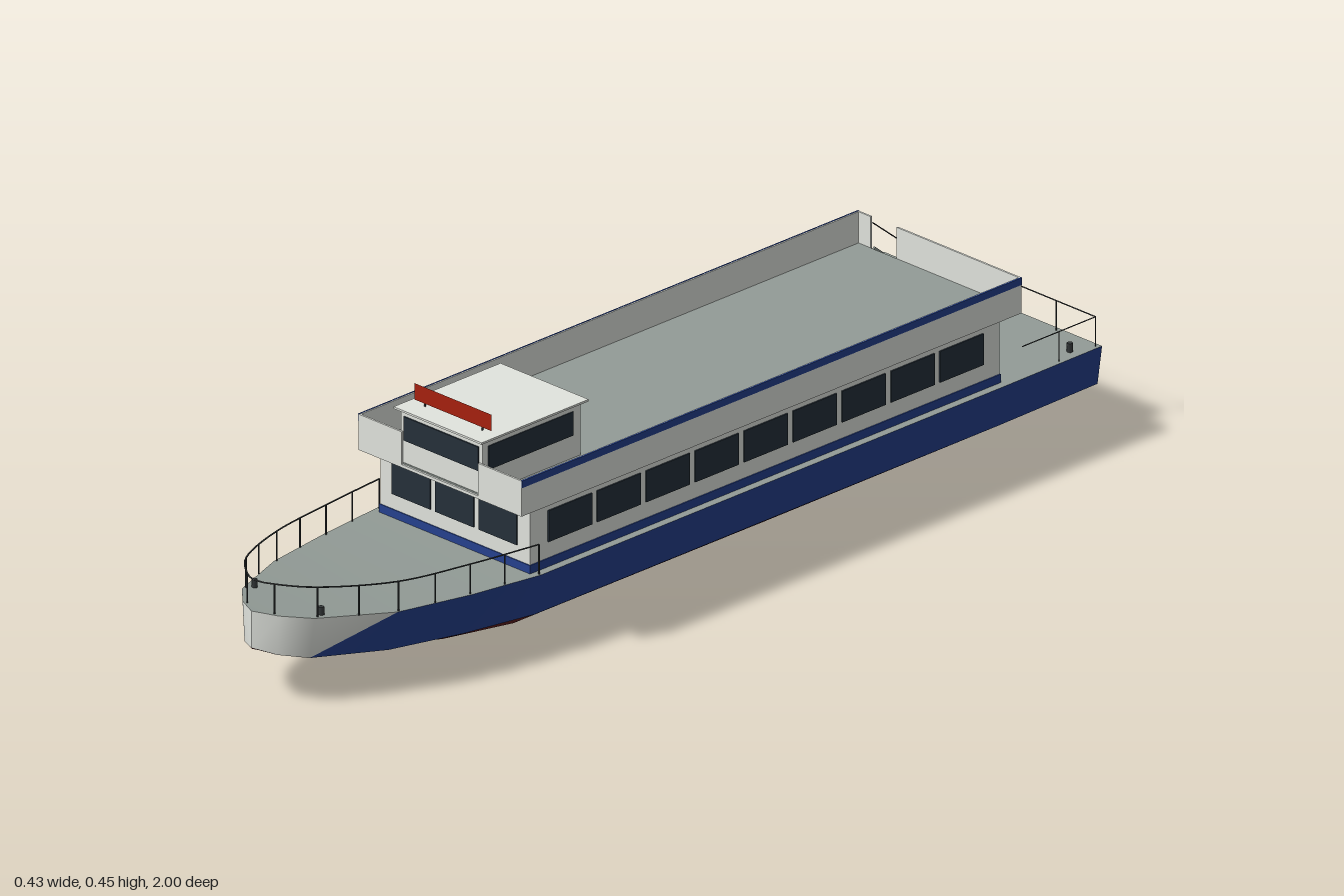
import * as THREE from 'three';

const mat = (name, color, double) => {
  const m = new THREE.MeshStandardMaterial({ color });
  m.name = name;
  if (double) m.side = THREE.DoubleSide;
  return m;
};

export function createModel() {
  const white = mat('white paint', 0xe2e5df);
  const blue = mat('blue paint', 0x25418f);
  const red = mat('hull red', 0x6a2222);
  const grey = mat('deck grey', 0x939c97);
  const glass = mat('dark glass', 0x25303a);
  const dark = mat('dark metal', 0x35393a);
  const signRed = mat('sign red', 0xa8210f, true);

  const model = new THREE.Group();
  model.name = 'passengerBoat';

  const add = (name, geo, material, parent = model) => {
    const m = new THREE.Mesh(geo, material);
    m.name = name;
    parent.add(m);
    return m;
  };
  // box given by its limits on each axis
  const box = (name, material, x0, x1, y0, y1, z0, z1, parent) => {
    const m = add(name, new THREE.BoxGeometry(x1 - x0, y1 - y0, z1 - z0), material, parent);
    m.position.set((x0 + x1) / 2, (y0 + y1) / 2, (z0 + z1) / 2);
    return m;
  };
  const group = (name) => {
    const g = new THREE.Group();
    g.name = name;
    model.add(g);
    return g;
  };
  const V = (x, y, z) => new THREE.Vector3(x, y, z);
  // thin round bar between two points
  const rod = (name, a, b, r, parent) => {
    const d = b.clone().sub(a);
    const m = add(name, new THREE.CylinderGeometry(r, r, d.length(), 6), dark, parent);
    m.position.copy(a).add(b).multiplyScalar(0.5);
    m.quaternion.setFromUnitVectors(V(0, 1, 0), d.normalize());
    return m;
  };

  // hull sections: z, deck x y, knuckle x y, chine x y, keel y
  const S = [
    [-1.0, 0.212, 0.155, 0.2, 0.075, 0.145, 0.073, 0.072],
    [-0.75, 0.214, 0.155, 0.197, 0.07, 0.145, 0.037, 0.023],
    [-0.2, 0.214, 0.155, 0.197, 0.07, 0.145, 0.036, 0.012],
    [0.46, 0.214, 0.155, 0.197, 0.07, 0.142, 0.035, 0.0],
    [0.62, 0.193, 0.159, 0.172, 0.074, 0.12, 0.047, 0.033],
    [0.78, 0.162, 0.165, 0.138, 0.081, 0.085, 0.068, 0.065],
    [0.93, 0.095, 0.178, 0.082, 0.094, 0.045, 0.093, 0.092],
    [0.975, 0.048, 0.182, 0.043, 0.102, 0.022, 0.101, 0.1],
    [1.0, 0.0, 0.185, 0.0, 0.111, 0.0, 0.11, 0.109],
  ];
  const PAINT_BREAK = 5; // the white bow begins on the diagonal after this section
  const row = (k, s) => S.map((p) => (k === 0 ? V(0, p[7], p[0]) : V(s * p[7 - 2 * k], p[8 - 2 * k], p[0])));
  // surface stretched over lengthwise rows; bowAt splits it into two paint groups
  const sheet = (rows, flip, bowAt = Infinity) => {
    const n = S.length, aft = [], bow = [];
    for (let r = 0; r < rows.length - 1; r++) {
      for (let i = 0; i < n - 1; i++) {
        const a = r * n + i, b = a + n;
        const t1 = [a, b, a + 1], t2 = [b, b + 1, a + 1];
        if (flip) { t1.reverse(); t2.reverse(); }
        (i > bowAt ? bow : aft).push(...t1);
        (i >= bowAt ? bow : aft).push(...t2);
      }
    }
    const g = new THREE.BufferGeometry().setFromPoints(rows.flat());
    g.setIndex([...aft, ...bow]);
    g.addGroup(0, aft.length, 0);
    g.addGroup(aft.length, bow.length, 1);
    g.computeVertexNormals();
    return g;
  };
  const hull = group('hull');
  for (const s of [1, -1]) {
    add('hullBottom', sheet([row(0, s), row(1, s), row(2, s)], s < 0), [red, red], hull);
    add('hullSide', sheet([row(2, s), row(3, s)], s < 0, PAINT_BREAK), [blue, white], hull);
  }
  add('mainDeck', sheet([row(3, 1), row(3, -1)], false), [grey, grey], hull);
  const t = S[0];
  const transom = new THREE.Shape([[t[1], t[2]], [-t[1], t[2]], [-t[3], t[4]], [-t[5], t[6]], [0, t[7]], [t[5], t[6]], [t[3], t[4]]]
    .map(([x, y]) => new THREE.Vector2(x, y)));
  const tm = add('transom', new THREE.ShapeGeometry(transom), blue, hull);
  tm.rotation.y = Math.PI;
  tm.position.z = -1;

  // passenger cabin with blue base band
  const cabin = group('cabin');
  box('cabinWalls', white, -0.195, 0.195, 0.15, 0.29, -0.75, 0.47, cabin);
  box('cabinBaseBand', blue, -0.197, 0.197, 0.152, 0.172, -0.752, 0.472, cabin);
  for (const s of [1, -1]) {
    for (let i = 0; i < 9; i++) {
      const z = 0.424 - i * 0.1272;
      box('sideWindow', glass, s * 0.196 - 0.002, s * 0.196 + 0.002, 0.205, 0.268, z - 0.113, z, cabin);
    }
  }
  for (const x of [-0.113, 0, 0.113]) box('frontWindow', glass, x - 0.05, x + 0.05, 0.203, 0.266, 0.469, 0.473, cabin);
  box('rearWindow', glass, 0.07, 0.17, 0.205, 0.266, -0.753, -0.749, cabin);
  box('rearWindow', glass, -0.17, -0.09, 0.205, 0.266, -0.753, -0.749, cabin);
  box('rearDoor', glass, -0.045, 0.02, 0.173, 0.266, -0.754, -0.749, cabin);

  // upper deck with its parapet
  const upper = group('upperDeck');
  box('upperFloorUnderside', white, -0.213, 0.213, 0.288, 0.294, -0.79, 0.51, upper);
  box('upperFloor', grey, -0.209, 0.209, 0.294, 0.297, -0.786, 0.506, upper);
  for (const s of [1, -1]) {
    box('sideParapet', white, s * 0.211 - 0.002, s * 0.211 + 0.002, 0.29, 0.36, -0.79, 0.51, upper);
    box('parapetStripe', blue, s * 0.213 - 0.0015, s * 0.213 + 0.0015, 0.346, 0.3605, -0.79, 0.51, upper);
    const xs = [s * 0.1, s * 0.213].sort((a, b) => a - b);
    box('frontParapet', white, xs[0], xs[1], 0.29, 0.36, 0.506, 0.51, upper);
  }
  box('rearParapet', white, -0.11, 0.213, 0.29, 0.36, -0.79, -0.786, upper);
  box('rearParapet', white, -0.213, -0.178, 0.29, 0.36, -0.79, -0.786, upper);

  // wheelhouse with roof and sign board
  const house = group('wheelhouse');
  box('wheelhouseWalls', white, -0.106, 0.106, 0.295, 0.404, 0.25, 0.505, house);
  box('wheelhouseRoof', white, -0.115, 0.115, 0.404, 0.408, 0.238, 0.516, house);
  box('wheelhouseFrontWindow', glass, -0.097, 0.097, 0.343, 0.391, 0.504, 0.508, house);
  for (const s of [1, -1]) {
    box('wheelhouseSideWindow', glass, s * 0.106 - 0.002, s * 0.106 + 0.002, 0.343, 0.391, 0.27, 0.49, house);
    rod('signPost', V(s * 0.075, 0.406, 0.474), V(s * 0.075, 0.42, 0.474), 0.002, house);
  }
  const sign = add('signBoard', new THREE.PlaneGeometry(0.2, 0.033), signRed, house);
  sign.position.set(0, 0.431, 0.476);

  // bow rail following the deck edge
  const H = 0.06, R = 0.0016;
  const rails = group('railings');
  const edge = S.slice(3).map((p) => V(p[1] * 0.975, p[2] + H, p[0] - (p[0] > 0.9 ? 0.008 : 0)));
  const path = [...edge, ...edge.slice(0, -1).reverse().map((p) => V(-p.x, p.y, p.z))];
  const curve = new THREE.CatmullRomCurve3(path);
  add('bowRail', new THREE.TubeGeometry(curve, 60, R, 6), dark, rails);
  for (let i = 0; i <= 15; i++) {
    const p = curve.getPointAt(i / 15);
    rod('bowRailPost', V(p.x, p.y - H, p.z), p, R, rails);
  }
  // stern rail on three sides
  const corners = [V(-0.205, 0.215, -0.8), V(-0.205, 0.215, -0.99), V(0.205, 0.215, -0.99), V(0.205, 0.215, -0.8)];
  for (let i = 0; i < 3; i++) {
    rod('sternRail', corners[i], corners[i + 1], 0.0012, rails);
    const n = i === 1 ? 4 : 2;
    for (let k = 0; k < n; k++) {
      const p = corners[i].clone().lerp(corners[i + 1], k / n);
      rod('sternRailPost', V(p.x, 0.155, p.z), p, 0.0012, rails);
    }
  }

  // mooring bollards
  for (const [x, y, z] of [[0.087, 0.174, 0.905], [0.188, 0.155, -0.94]]) {
    for (const s of [1, -1]) {
      rod('bollard', V(s * x, y, z), V(s * x, y + 0.018, z), 0.006, model);
    }
  }

  // stair from the aft deck to the upper deck
  const stair = group('stair');
  const top = V(0, 0.292, -0.79), foot = V(0, 0.157, -0.955);
  const slope = Math.atan2(top.y - foot.y, top.z - foot.z);
  for (const x of [-0.176, -0.112]) {
    const side = add('stairStringer', new THREE.BoxGeometry(0.004, 0.014, top.distanceTo(foot)), grey, stair);
    side.position.copy(top).add(foot).multiplyScalar(0.5).setX(x);
    side.rotation.x = -slope;
    rod('stairHandrail', V(x, top.y + 0.055, top.z), V(x, foot.y + 0.055, foot.z), 0.0012, stair);
    rod('stairHandrailPost', V(x, foot.y, foot.z), V(x, foot.y + 0.055, foot.z), 0.0012, stair);
  }
  for (let i = 1; i < 9; i++) {
    const p = foot.clone().lerp(top, i / 9);
    box('stairTread', grey, -0.176, -0.112, p.y - 0.002, p.y + 0.002, p.z - 0.011, p.z + 0.011, stair);
  }

  return model;
}
